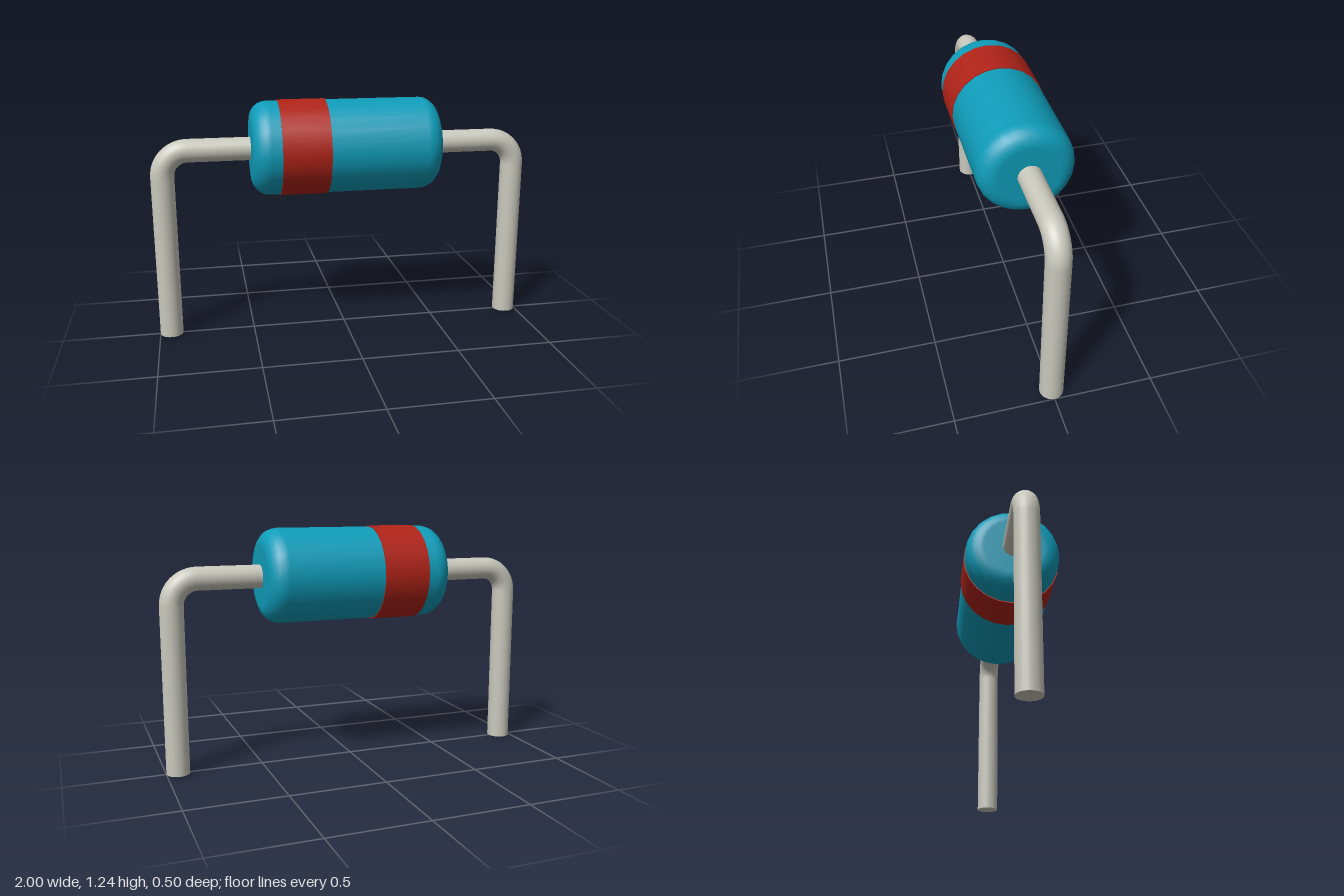
import * as THREE from 'three';

const AXIS_Y = 0.99, WIRE_R = 0.06, LEG_X = 0.94, BEND_R = 0.13;
const BODY_R = 0.243, BODY_HALF = 0.49, FILLET = 0.09, SIDES = 24;

function add(parent, name, geometry, material) {
  const mesh = new THREE.Mesh(geometry, material);
  mesh.name = name;
  parent.add(mesh);
  return mesh;
}

// Bent wire lead on the +x side: horizontal run, quarter bend, vertical leg
function makeLead(name, material) {
  const lead = new THREE.Group();
  lead.name = name;
  const bendX = LEG_X - BEND_R, bendY = AXIS_Y - BEND_R;
  const runStart = BODY_HALF - 0.05, runLength = bendX - runStart;

  const run = add(lead, 'leadRun', new THREE.CylinderGeometry(WIRE_R, WIRE_R, runLength, SIDES, 1, true), material);
  run.rotation.z = Math.PI / 2;
  run.position.set(runStart + runLength / 2, AXIS_Y, 0);

  const bend = add(lead, 'leadBend', new THREE.TorusGeometry(BEND_R, WIRE_R, SIDES, 12, Math.PI / 2), material);
  bend.position.set(bendX, bendY, 0);

  const leg = add(lead, 'leadLeg', new THREE.CylinderGeometry(WIRE_R, WIRE_R, bendY, SIDES, 1, true), material);
  leg.position.set(LEG_X, bendY / 2, 0);

  const tip = add(lead, 'leadTip', new THREE.CircleGeometry(WIRE_R, SIDES), material);
  tip.rotation.x = Math.PI / 2;
  tip.position.set(LEG_X, 0, 0);
  return lead;
}

export function createModel() {
  const model = new THREE.Group();
  model.name = 'axialComponent';
  const blue = new THREE.MeshStandardMaterial({ color: 0x0f9cb9 });
  const red = new THREE.MeshStandardMaterial({ color: 0xb02318 });
  const metal = new THREE.MeshStandardMaterial({ color: 0xc9c8bd });

  // Body: cylinder along x with rounded rims
  const profile = [new THREE.Vector2(0, -BODY_HALF)];
  for (const end of [-1, 1]) {
    for (let i = 0; i <= 6; i++) {
      const a = (end < 0 ? i - 6 : i) / 6 * Math.PI / 2;
      profile.push(new THREE.Vector2(
        BODY_R - FILLET + FILLET * Math.cos(a),
        end * (BODY_HALF - FILLET) + FILLET * Math.sin(a)));
    }
  }
  profile.push(new THREE.Vector2(0, BODY_HALF));
  const body = add(model, 'body', new THREE.LatheGeometry(profile, SIDES), blue);
  body.rotation.z = -Math.PI / 2;
  body.position.y = AXIS_Y;

  // Coloured band, slightly proud of the body
  const band = add(model, 'band', new THREE.CylinderGeometry(BODY_R + 0.005, BODY_R + 0.005, 0.245, SIDES), red);
  band.rotation.z = -Math.PI / 2;
  band.position.set(-0.225, AXIS_Y, 0);

  // Two mirrored leads
  const left = makeLead('leftLead', metal);
  const right = makeLead('rightLead', metal);
  right.rotation.y = Math.PI;
  model.add(left, right);
  return model;
}
